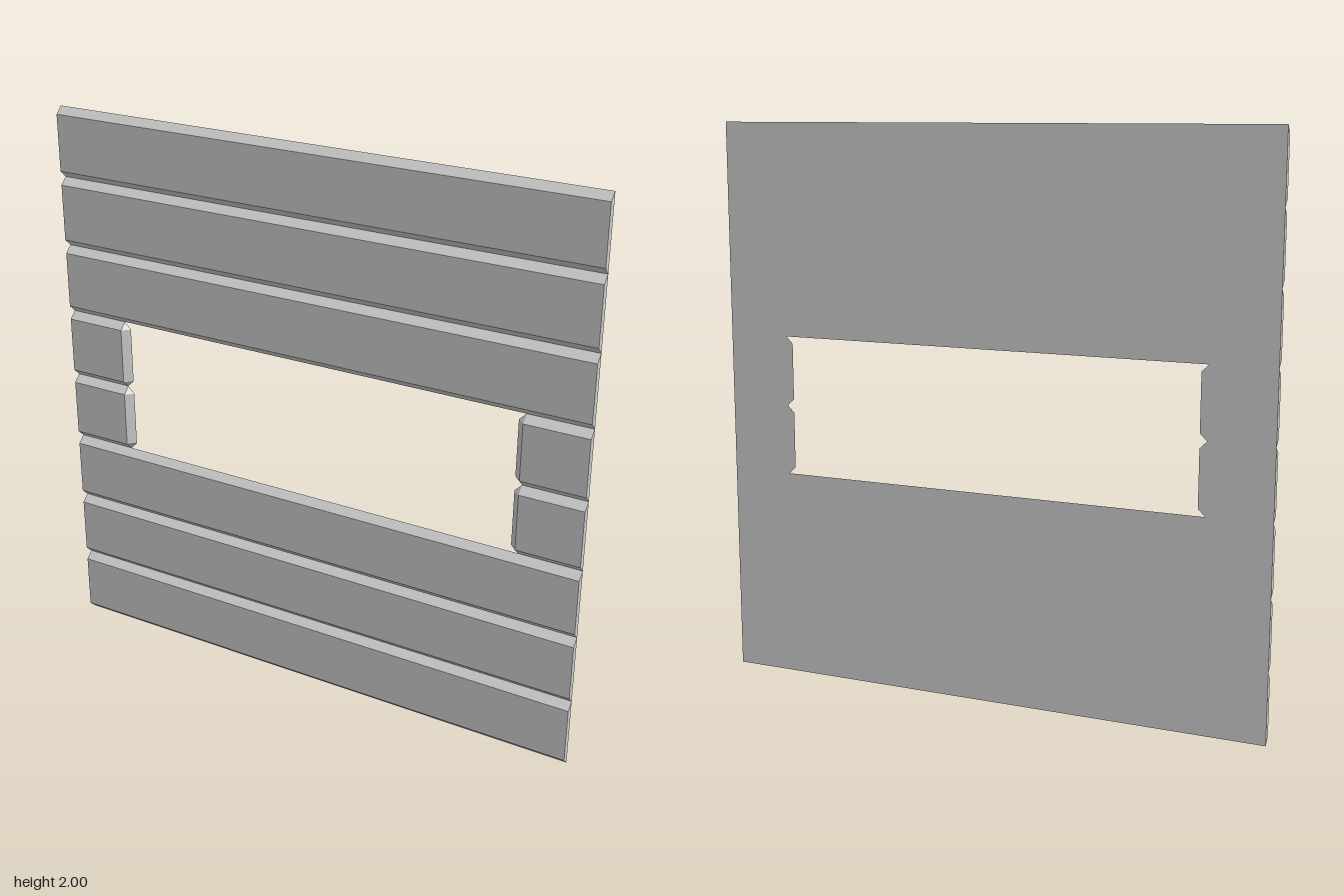
import * as THREE from 'three';
import { ConvexGeometry } from 'three/addons/geometries/ConvexGeometry.js';

const ROWS = 8, PITCH = 2 / ROWS, BEVEL = 0.025, Z = 0.013;
const material = new THREE.MeshStandardMaterial({ color: 0xcccccc, flatShading: true });

// Convex solid between a back outline and a smaller front outline
function plank(name, back, front) {
  const points = [
    ...back.map(([x, y]) => new THREE.Vector3(x, y, -Z)),
    ...front.map(([x, y]) => new THREE.Vector3(x, y, Z)),
  ];
  const mesh = new THREE.Mesh(new ConvexGeometry(points), material);
  mesh.name = name;
  return mesh;
}

// Board across the full width, bevelled along its top and bottom
function fullPlank() {
  const rect = (y0, y1) => [[-1, y0], [1, y0], [1, y1], [-1, y1]];
  return plank('plank', rect(0, PITCH), rect(BEVEL, PITCH - BEVEL));
}

// Short board beside the opening, its inner end bevelled too
function shortPlank(side) {
  const inner = 0.75, face = inner + BEVEL, low = BEVEL, high = PITCH - BEVEL;
  const mirror = (pts) => pts.map(([x, y]) => [x * side, y]);
  return plank(
    side > 0 ? 'shortPlankLeft' : 'shortPlankRight',
    mirror([[1, 0], [1, PITCH], [face, PITCH], [inner, high], [inner, low], [face, 0]]),
    mirror([[1, low], [1, high], [face, high], [face, low]]),
  );
}

export function createModel() {
  const wall = new THREE.Group();
  wall.name = 'plankWall';
  for (let row = 0; row < ROWS; row++) {
    // Rows 3 and 4 leave the window opening
    const isOpen = row === 3 || row === 4;
    const parts = isOpen ? [shortPlank(-1), shortPlank(1)] : [fullPlank()];
    for (const part of parts) {
      part.position.y = row * PITCH;
      wall.add(part);
    }
  }
  return wall;
}
